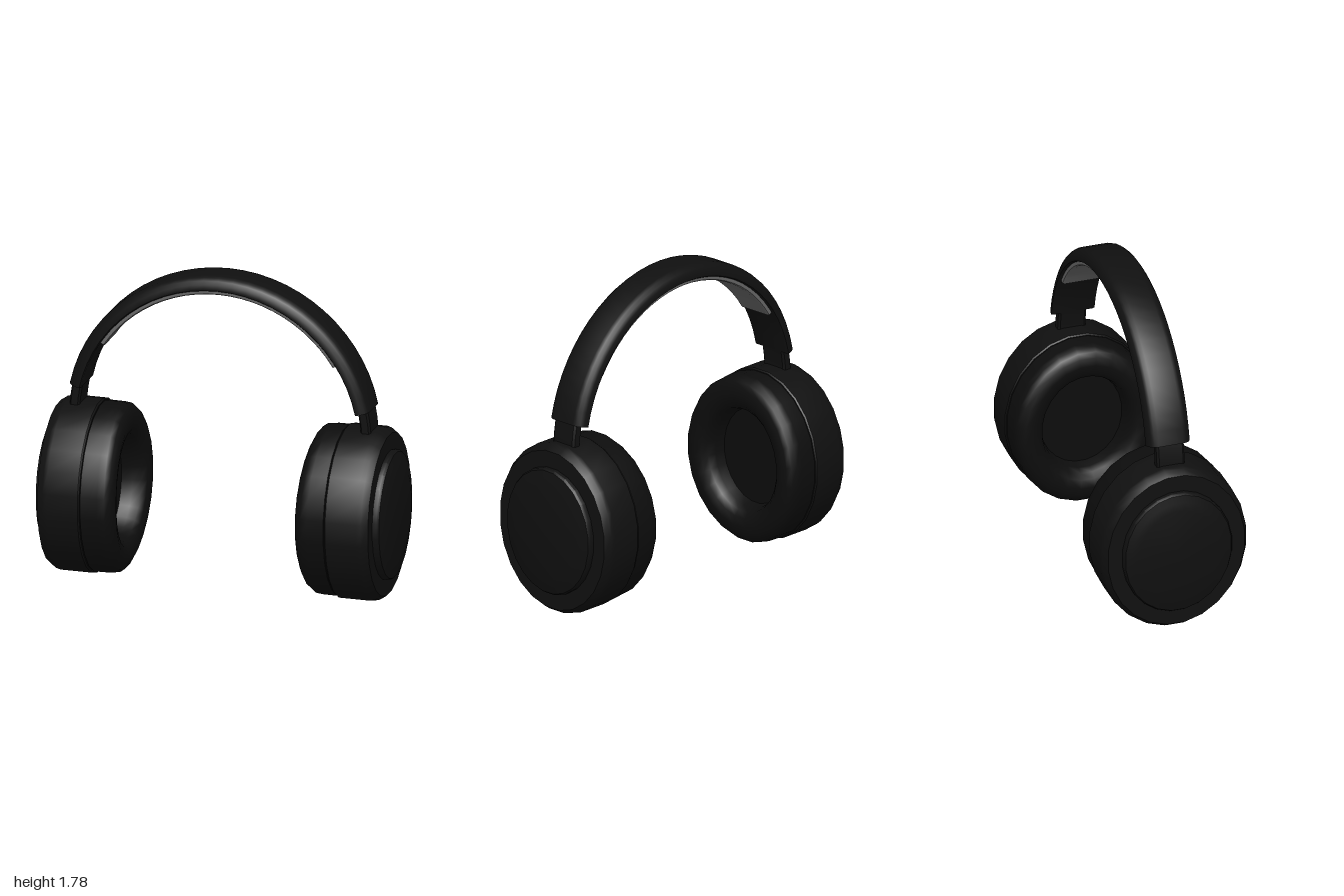
import * as THREE from 'three';
import { toCreasedNormals } from 'three/addons/utils/BufferGeometryUtils.js';

const SIDES = 24;
const ARC_Y = 0.908; // centre of the headband arc
const CUP_Y = 0.485; // centre of the ear cups
const rad = THREE.MathUtils.degToRad;

// Revolve [radius, x] points about the x axis into an oval body
function ovalBody(points, bend) {
  const geo = new THREE.LatheGeometry(
    points.map(([r, x]) => new THREE.Vector2(r, x)), SIDES, Math.PI / SIDES);
  geo.rotateZ(-Math.PI / 2);
  const pos = geo.attributes.position;
  if (bend) {
    for (let i = 0; i < pos.count; i++) pos.setX(i, bend(pos.getX(i), pos.getY(i)));
  }
  geo.scale(1, 1, 0.865);
  return toCreasedNormals(geo, rad(35));
}

// Sweep a [half width, radius] section, mirrored across its middle, along the headband arc
function arcSweep(half, from, to, steps) {
  const mirrored = half.map(([w, r]) => [-w, r]).reverse();
  const shape = new THREE.Shape([...half, ...mirrored].map(([w, r]) => new THREE.Vector2(w, r)));
  const geo = new THREE.ExtrudeGeometry(shape, { depth: 1, steps, bevelEnabled: false });
  const pos = geo.attributes.position;
  for (let i = 0; i < pos.count; i++) {
    const a = rad(from + (to - from) * pos.getZ(i));
    const r = pos.getY(i);
    pos.setXYZ(i, r * Math.sin(a), ARC_Y + r * Math.cos(a), -pos.getX(i));
  }
  return toCreasedNormals(geo, rad(35));
}

export function createModel() {
  const model = new THREE.Group();
  model.name = 'headphones';

  const material = (name, color) => {
    const m = new THREE.MeshStandardMaterial({ color });
    m.name = name;
    return m;
  };
  const black = material('black plastic', 0x101010);
  const leather = material('black cushion', 0x0d0d0d);
  const grey = material('grey padding', 0x6c6c6c);

  const add = (parent, name, geo, mat) => {
    const mesh = new THREE.Mesh(geo, mat);
    mesh.name = name;
    parent.add(mesh);
  };

  // Headband with rounded outer edges, and the padding under it
  add(model, 'headband', arcSweep([
    [0.115, 0.802], [0.125, 0.808], [0.125, 0.815], [0.12, 0.838],
    [0.108, 0.858], [0.092, 0.871], [0.07, 0.877],
  ], -78, 78, 28), black);
  add(model, 'headbandPad', arcSweep([
    [0.095, 0.777], [0.106, 0.783], [0.108, 0.792], [0.108, 0.806],
  ], -57, 57, 24), grey);

  // Ear cup parts, built on the left side
  const shell = ovalBody([
    [0.38, 0.705], [0.482, 0.7], [0.489, 0.708], [0.489, 0.885],
    [0.482, 0.91], [0.458, 0.945], [0.33, 0.945],
  ]);
  const cap = ovalBody([
    [0.364, 0.94], [0.364, 0.968], [0.355, 0.981], [0.315, 0.99], [0.27, 1.0], [0, 1.0],
  ]);
  // Cushion face dips slightly at the top and bottom
  const cushion = ovalBody([
    [0, 0.66], [0.275, 0.66], [0.285, 0.6], [0.3, 0.555], [0.33, 0.527],
    [0.38, 0.515], [0.425, 0.519], [0.455, 0.534], [0.474, 0.56],
    [0.479, 0.6], [0.48, 0.695], [0.465, 0.702],
  ], (x, y) => x + 0.022 * (y / 0.48) ** 2 * Math.max(0, (0.7 - x) / 0.185));
  // Flat slider that follows the headband arc down into the cup
  const slider = arcSweep([
    [0.068, 0.805], [0.08, 0.815], [0.08, 0.853], [0.068, 0.863],
  ], 72, 94, 6);

  for (const side of ['left', 'right']) {
    const ear = new THREE.Group();
    ear.name = side + 'Ear';
    if (side === 'right') ear.rotation.y = Math.PI;
    const cup = new THREE.Group();
    cup.name = side + 'EarCup';
    cup.position.y = CUP_Y;
    add(cup, 'shell', shell, black);
    add(cup, 'outerCap', cap, black);
    add(cup, 'cushion', cushion, leather);
    ear.add(cup);
    add(ear, 'slider', slider, black);
    model.add(ear);
  }
  return model;
}
